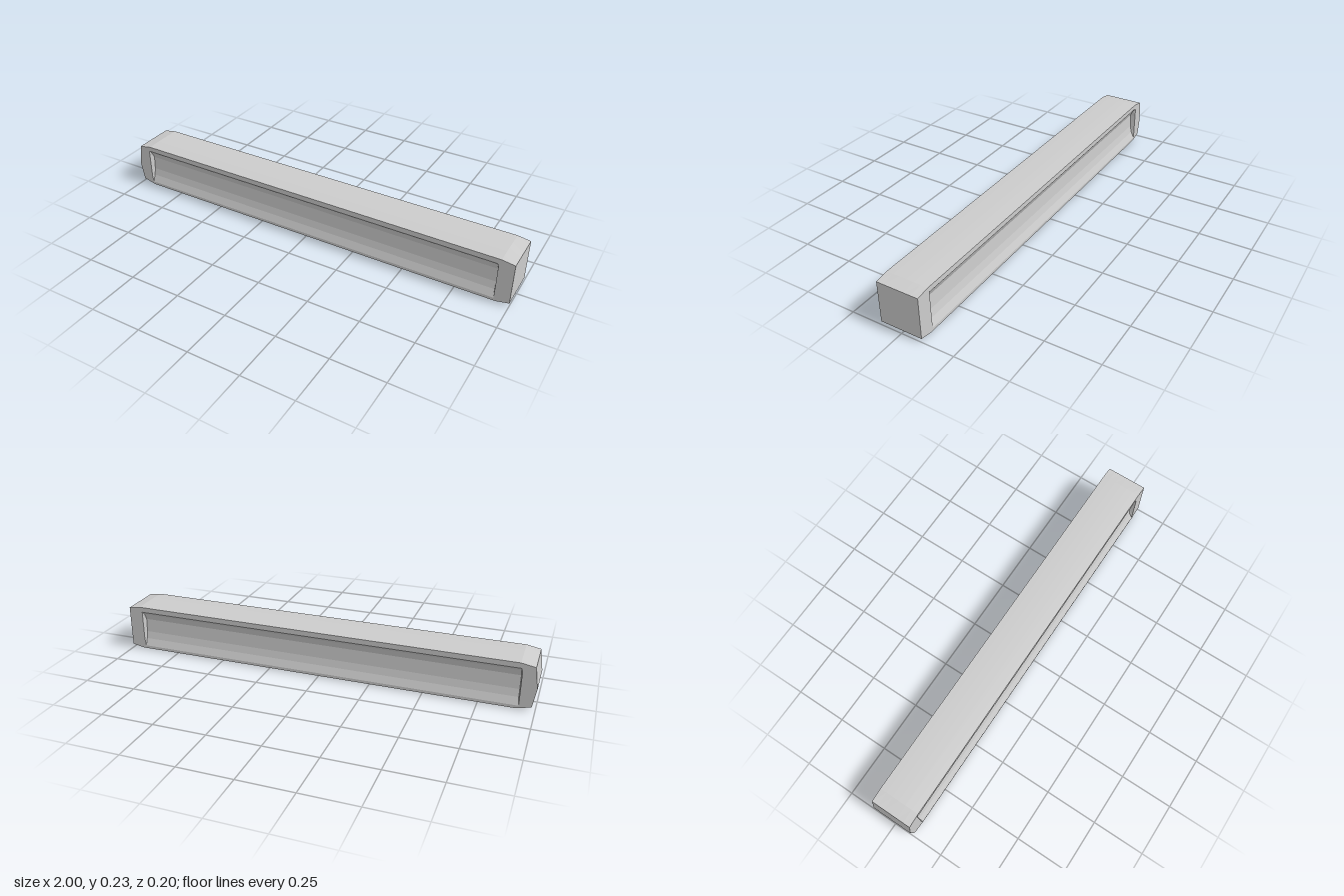
import * as THREE from 'three';

const HALF = 0.1; // half thickness of the beam
const END = 0.93; // half length of the grooves
const LOW = 0.02, HIGH = 0.2; // groove height range

// Surface through a grid of points; u runs first, v second, facing u x v
function surface(nu, nv, point) {
  const pos = [], idx = [];
  for (let i = 0; i < nu; i++) for (let j = 0; j < nv; j++) pos.push(...point(i, j));
  for (let i = 0; i < nu - 1; i++) {
    for (let j = 0; j < nv - 1; j++) {
      const a = i * nv + j, b = a + nv;
      idx.push(a, b, a + 1, b, b + 1, a + 1);
    }
  }
  const g = new THREE.BufferGeometry();
  g.setAttribute('position', new THREE.Float32BufferAttribute(pos, 3));
  g.setIndex(idx);
  g.computeVertexNormals();
  return g;
}

export function createModel() {
  const group = new THREE.Group();
  const material = new THREE.MeshStandardMaterial({ color: 0xcccccc, flatShading: true });
  const add = (parent, name, geometry) => {
    const mesh = new THREE.Mesh(geometry, material);
    mesh.name = name;
    parent.add(mesh);
  };

  // Side outline, counter-clockwise: chamfered corners and a bowed left end
  const outline = [
    [-0.92, 0.006], [0.94, 0.006], [1, 0.018], [1, 0.216], [0.94, 0.225],
    [-0.92, 0.225], [-0.985, 0.213], [-1, 0.11], [-0.985, 0.022],
  ];

  // Top, bottom and ends, with a slight crown across the thickness
  const steps = 7;
  add(group, 'beamShell', surface(outline.length + 1, steps, (i, j) => {
    const [x, y] = outline[i % outline.length];
    const t = (j / (steps - 1)) * 2 - 1;
    const crown = 1 - t * t;
    const lift = y > 0.22 ? 0.003 : y < 0.01 ? -0.006 : 0;
    return [x, y + lift * crown, t * HALF];
  }));

  // Flat rim around each groove
  const rim = new THREE.Shape(outline.map(([x, y]) => new THREE.Vector2(x, y)));
  rim.holes.push(new THREE.Path([
    [-END, LOW], [-END, HIGH], [END, HIGH], [END, LOW],
  ].map(([x, y]) => new THREE.Vector2(x, y))));

  // Groove section as [height, depth], and its columns as [x, share of depth]
  const section = [[LOW, 0], [0.055, 0.014], [0.09, 0.022], [0.155, 0.026], [0.185, 0.012], [HIGH, 0]];
  const columns = [[-END, 0], [-END + 0.005, 1], [END - 0.005, 1], [END, 0]];

  for (const side of ['front', 'back']) {
    const face = new THREE.Group();
    face.name = side + 'Face';
    const rimShape = rim.clone();
    // Mirror the outline for the back so it matches after the half turn
    if (side === 'back') {
      const flip = (p) => new THREE.Vector2(-p.x, p.y);
      const mirrored = new THREE.Shape(rim.getPoints().map(flip));
      mirrored.holes.push(new THREE.Path(rim.holes[0].getPoints().map(flip)));
      add(face, 'backRim', new THREE.ShapeGeometry(mirrored).translate(0, 0, HALF));
      face.rotation.y = Math.PI;
    } else {
      add(face, 'frontRim', new THREE.ShapeGeometry(rimShape).translate(0, 0, HALF));
    }
    add(face, side + 'Groove', surface(columns.length, section.length, (i, j) => [
      columns[i][0], section[j][0], HALF - section[j][1] * columns[i][1],
    ]));
    group.add(face);
  }
  return group;
}
